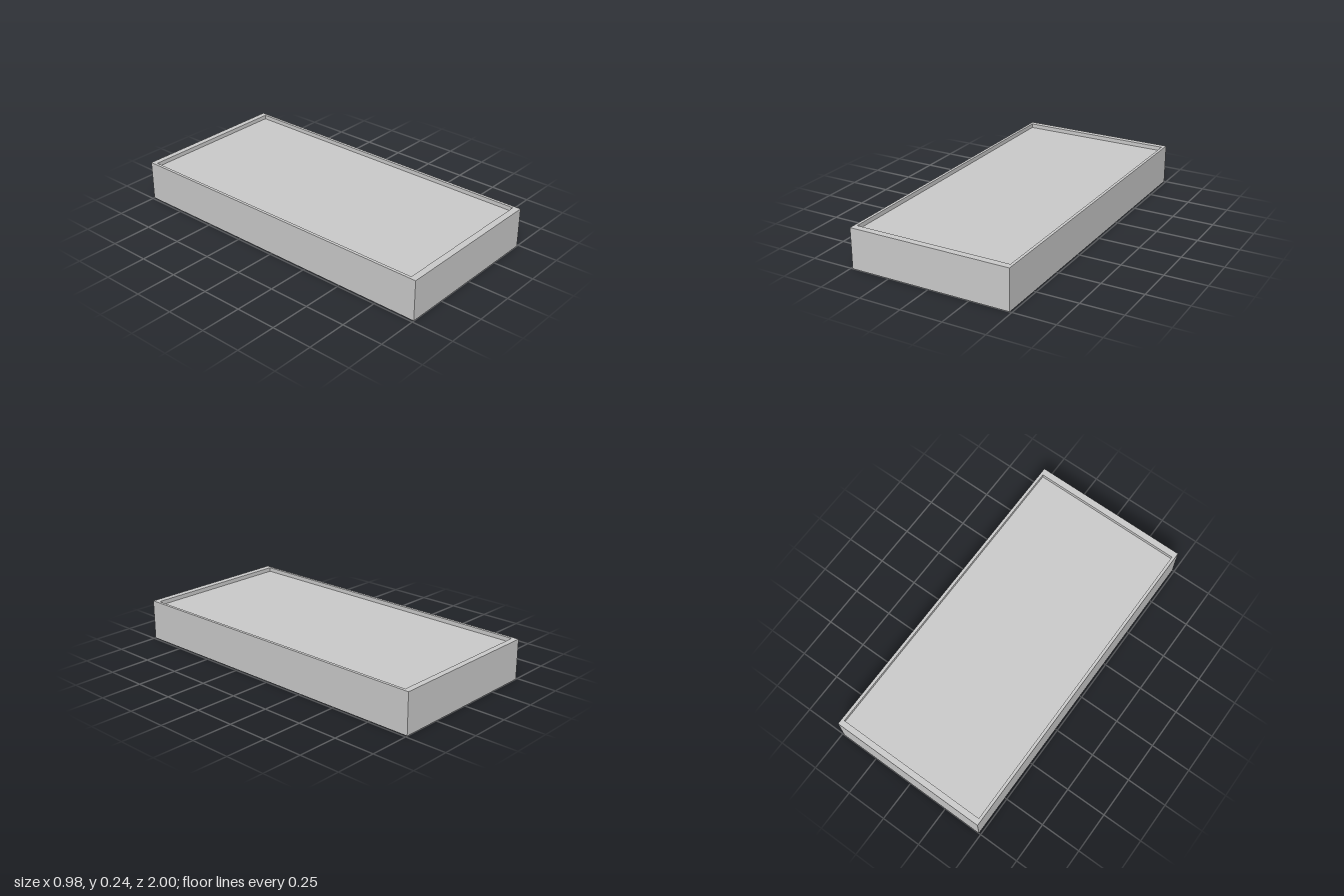
import * as THREE from 'three';

const W = 0.975, H = 0.243, L = 2;   // overall size
const PLATE = 0.04, LIP = 0.025;     // underside pocket depth, tray depth

const material = new THREE.MeshStandardMaterial({ color: 0xcccccc, flatShading: true });

function rectangle(Type, x0, x1, z0, z1) {
  return new Type([[x0, z0], [x1, z0], [x1, z1], [x0, z1]].map(([x, z]) => new THREE.Vector2(x, z)));
}

// Points along an arc in the x-z plane, angles in degrees
function arc(cx, cz, r, from, to, steps = 16) {
  return Array.from({ length: steps + 1 }, (_, i) => {
    const a = THREE.MathUtils.degToRad(from + (to - from) * i / steps);
    return new THREE.Vector2(cx + r * Math.cos(a), cz + r * Math.sin(a));
  });
}

// Horizontal slab with holes, its underside at y
function slab(name, holes, y, depth) {
  const shape = rectangle(THREE.Shape, -W / 2, W / 2, -L / 2, L / 2);
  shape.holes.push(...holes);
  const geometry = new THREE.ExtrudeGeometry(shape, { depth, bevelEnabled: false });
  geometry.rotateX(Math.PI / 2).translate(0, y + depth, 0);
  const mesh = new THREE.Mesh(geometry, material);
  mesh.name = name;
  return mesh;
}

export function createModel() {
  const group = new THREE.Group();
  group.name = 'shallowTray';

  // Underside pockets: double lobe, half disc, small round and two tiny slots
  const pockets = [
    new THREE.Path([
      ...arc(0.02, 0.5, 0.19, 21, 138.6),
      ...arc(-0.24, 0.53, 0.15, 40, 307),
      ...arc(0.02, 0.5, 0.19, 208.2, 270, 8),
    ]),
    new THREE.Path(arc(-0.22, 0.02, 0.2, 46, 246)),
    new THREE.Path(arc(-0.25, -0.445, 0.055, 0, 345, 23)),
    rectangle(THREE.Path, -0.385, -0.36, -0.43, -0.35),
    rectangle(THREE.Path, -0.345, -0.315, -0.3, -0.27),
  ];
  group.add(slab('pocketedBase', pockets, 0, PLATE));

  // Solid body between the base and the tray floor
  const bodyHeight = H - PLATE - LIP;
  const body = new THREE.Mesh(new THREE.BoxGeometry(W, bodyHeight, L), material);
  body.name = 'body';
  body.position.y = PLATE + bodyHeight / 2;
  group.add(body);

  // Raised rim around the recessed top
  group.add(slab('rim', [rectangle(THREE.Path, -0.47, 0.47, -0.965, 0.96)], H - LIP, LIP));

  return group;
}
